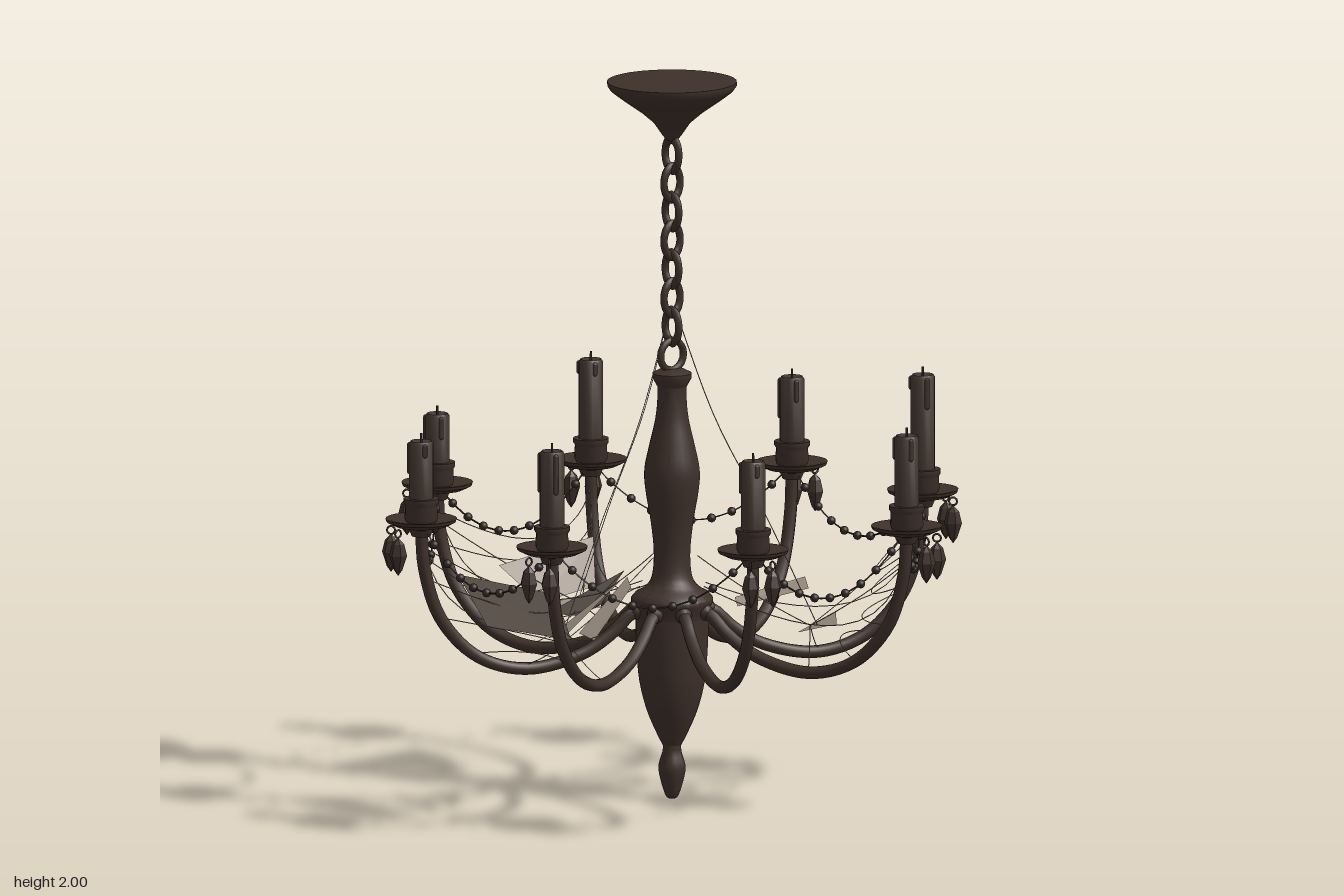
import * as THREE from 'three';
import { toCreasedNormals, mergeGeometries } from 'three/addons/utils/BufferGeometryUtils.js';

const V = (x, y, z) => new THREE.Vector3(x, y, z);

function createModel() {
  const model = new THREE.Group();
  const material = (name, color, side = THREE.FrontSide) => {
    const m = new THREE.MeshStandardMaterial({ color, side });
    m.name = name;
    return m;
  };
  const iron = material('dark bronze', 0x3e302a);
  const wax = material('old wax', 0x42362f);
  const bead = material('bead', 0x2f2825);
  const webbing = material('dusty web', 0x978a7d, THREE.DoubleSide);

  const add = (parent, name, geometry, mat, x = 0, y = 0, z = 0) => {
    const mesh = new THREE.Mesh(geometry, mat);
    mesh.name = name;
    mesh.position.set(x, y, z);
    parent.add(mesh);
    return mesh;
  };
  // Profiles run from bottom to top as [radius, y]
  const lathe = (profile, sides = 24) =>
    toCreasedNormals(new THREE.LatheGeometry(profile.map(p => new THREE.Vector2(...p)), sides), 0.7);
  const smoothProfile = (profile, n) =>
    new THREE.SplineCurve(profile.map(p => new THREE.Vector2(...p))).getPoints(n).map(p => [Math.max(p.x, 0), p.y]);
  const tube = (curve, radius, segments) => new THREE.TubeGeometry(curve, segments, radius, 4);

  // Ceiling canopy
  add(model, 'canopy', lathe([[0, 1.835], [0.014, 1.835], [0.026, 1.85], [0.05, 1.885], [0.085, 1.915],
    [0.135, 1.95], [0.168, 1.975], [0.178, 1.99], [0.178, 2], [0, 2]], 32), iron);

  // Chain of alternating links, ending in a round ring
  for (let i = 0; i < 8; i++) {
    const last = i === 7;
    const link = add(model, last ? 'hangingRing' : 'chainLink',
      new THREE.TorusGeometry(last ? 0.041 : 0.029, 0.01, 8, 20), iron, 0, 1.797 - i * 0.08, 0);
    if (!last) link.scale.y = 1.5;
    if (i % 2) link.rotation.y = Math.PI / 2;
  }

  // Turned central column, bowl and finial
  add(model, 'columnCap', lathe([[0, 1.15], [0.04, 1.15], [0.054, 1.175], [0.054, 1.188], [0.03, 1.2], [0, 1.2]]), iron);
  add(model, 'column', lathe(smoothProfile([[0.1, 0.575], [0.06, 0.61], [0.05, 0.68], [0.058, 0.77], [0.073, 0.86],
    [0.076, 0.92], [0.062, 0.99], [0.046, 1.06], [0.04, 1.12], [0.041, 1.16]], 36)), iron);
  add(model, 'hub', lathe([[0.1, 0.5], [0.103, 0.535], [0.113, 0.55], [0.113, 0.562], [0.1, 0.578], [0.05, 0.6]]), iron);
  add(model, 'bowl', lathe(smoothProfile([[0.024, 0.15], [0.04, 0.18], [0.07, 0.25], [0.09, 0.33], [0.098, 0.42],
    [0.101, 0.51]], 20)), iron);
  add(model, 'finial', lathe(smoothProfile([[0, 0.003], [0.017, 0.01], [0.033, 0.06], [0.037, 0.095], [0.026, 0.135],
    [0.026, 0.16]], 18)), iron);

  // Geometry shared by the eight arms
  const REACH = 0.722;
  const armCurve = new THREE.CatmullRomCurve3([[0.085, 0.535], [0.12, 0.522], [0.17, 0.475], [0.26, 0.42], [0.42, 0.388],
    [0.56, 0.43], [0.665, 0.54], [0.712, 0.68], [REACH, 0.8]].map(p => V(p[0], p[1], 0)));
  const armTube = new THREE.TubeGeometry(armCurve, 40, 0.0175, 10);
  const dish = lathe([[0, 0.775], [0.026, 0.775], [0.034, 0.795], [0.07, 0.803], [0.095, 0.815], [0.098, 0.824],
    [0.09, 0.824], [0.06, 0.815], [0, 0.815]]);
  const socket = lathe([[0.04, 0.812], [0.046, 0.825], [0.044, 0.86], [0.049, 0.868], [0.049, 0.88], [0, 0.88]], 16);
  const crystal = new THREE.LatheGeometry([[0, -0.107], [0.012, -0.09], [0.025, -0.05], [0.017, -0.018], [0, 0]]
    .map(p => new THREE.Vector2(...p)), 6).toNonIndexed();
  crystal.computeVertexNormals();
  const hook = new THREE.TorusGeometry(0.011, 0.003, 5, 10);
  const candleTops = [1.07, 1.09, 1.04, 1.015, 1.1, 1.06, 1.143, 1.075];

  candleTops.forEach((top, i) => {
    const arm = new THREE.Group();
    arm.name = 'arm';
    arm.rotation.y = -(Math.PI / 8 + i * Math.PI / 4);
    model.add(arm);
    add(arm, 'armTube', armTube, iron);
    add(arm, 'armRoot', new THREE.SphereGeometry(0.024, 10, 8), iron, 0.1, 0.53, 0);
    add(arm, 'dripDish', dish, iron, REACH);
    add(arm, 'candleSocket', socket, iron, REACH);

    // Candle with wick and wax runs
    add(arm, 'candle', lathe([[0.034, 0.87], [0.034, top - 0.008], [0.029, top], [0.018, top - 0.004], [0, top - 0.01]], 14),
      wax, REACH);
    add(arm, 'wick', new THREE.CylinderGeometry(0.003, 0.004, 0.032, 6), bead, REACH, top + 0.005, 0);
    for (let j = 0; j < 3; j++) {
      const a = i * 1.3 + j * 2.1, len = 0.025 + 0.025 * ((i * 3 + j * 2) % 4);
      add(arm, 'waxRun', new THREE.CapsuleGeometry(0.007, len, 3, 6), wax,
        REACH + 0.033 * Math.cos(a), top - 0.012 - len / 2, 0.033 * Math.sin(a));
    }

    // Two faceted drops on the outer rim
    for (const a of [-Math.PI / 8, Math.PI / 8]) {
      const x = REACH + 0.083 * Math.cos(a), z = 0.083 * Math.sin(a);
      add(arm, 'dropHook', hook, iron, x, 0.79, z).rotation.y = -a;
      add(arm, 'crystalDrop', crystal, iron, x, 0.78, z);
    }
  });

  // Bead swags between neighbouring dishes
  const tip = i => V(REACH * Math.cos((i + 0.5) * Math.PI / 4), 0, REACH * Math.sin((i + 0.5) * Math.PI / 4));
  const beadBall = new THREE.IcosahedronGeometry(0.0125, 1);
  for (let i = 0; i < 8; i++) {
    const points = [];
    for (let k = 0; k <= 10; k++) {
      const t = k / 10;
      const p = tip(i).lerp(tip(i + 1), t);
      p.y = 0.655 + 0.16 * (2 * t - 1) ** 2;
      points.push(p);
      if (k > 0 && k < 10) add(model, 'swagBead', beadBall, bead, p.x, p.y, p.z);
    }
    add(model, 'swagWire', tube(new THREE.CatmullRomCurve3(points), 0.0025, 20), bead);
  }

  // Cobwebs: local axes are r outward, y up, s sideways
  const centre = [[0.38, 0.455, 0], [0.455, 0.5, 0.09], [0.47, 0.48, -0.1]];
  const smallCentre = [[0.345, 0.47, 0], [0.455, 0.5, 0.03], [0.445, 0.52, -0.06]];
  const innerLeft = [[0.165, 0.64, -0.005], [0.19, 0.62, -0.05], [0.365, 0.5, -0.1], [0.36, 0.51, -0.03]];
  const innerRight = [[0.165, 0.64, 0.005], [0.36, 0.5, 0.02], [0.37, 0.48, 0.09]];
  const innerFan = [[0.2, 0.61, 0], [0.42, 0.47, -0.09], [0.39, 0.455, 0], [0.42, 0.47, 0.1]];
  const outerFar = [[0.515, 0.53, -0.18], [0.52, 0.52, 0.17], [0.6, 0.67, 0.2], [0.59, 0.67, -0.2]];
  const outerNear = [[0.43, 0.5, -0.11], [0.44, 0.52, 0.1], [0.52, 0.64, 0.16], [0.52, 0.6, -0.18]];
  const strip = [[0.354, 0.6, -0.14], [0.37, 0.58, -0.07], [0.18, 0.54, 0], [0.17, 0.56, -0.03]];
  const webs = [
    { angle: Math.PI / 2, patches: [centre, innerLeft, innerRight, outerFar] },
    { angle: Math.PI, patches: [centre, innerFan, outerNear] },
    { angle: -Math.PI / 4, patches: [smallCentre, strip] },
  ];
  const onArm = (t, side) => {
    const p = armCurve.getPoint(t);
    return V(p.x * Math.cos(Math.PI / 8), p.y + 0.012, side * p.x * Math.sin(Math.PI / 8));
  };
  const patchGeometry = corners => {
    const g = new THREE.BufferGeometry();
    g.setAttribute('position', new THREE.Float32BufferAttribute(corners.flat(), 3));
    g.setIndex(corners.length === 4 ? [0, 1, 2, 0, 2, 3] : [0, 1, 2]);
    const flat = g.toNonIndexed();
    flat.computeVertexNormals();
    return flat;
  };
  const THREAD = 0.0014;
  const knot = V(0.38, 0.49, 0);
  for (const { angle, patches } of webs) {
    const web = new THREE.Group();
    web.name = 'cobweb';
    web.rotation.y = -angle;
    model.add(web);
    patches.forEach(p => add(web, 'webPatch', patchGeometry(p), webbing));

    const sag = (a, control, b) => tube(new THREE.QuadraticBezierCurve3(a, control, b), THREAD, 14);
    const threads = [];
    // Spokes from the knot to the hub and arms
    const ends = [V(0.07, 0.68, 0)];
    for (const side of [-1, 1]) for (const t of [0.5, 0.9]) ends.push(onArm(t, side));
    for (const end of ends) threads.push(sag(knot, knot.clone().lerp(end, 0.5).add(V(0, -0.02, 0)), end));
    // Sagging cross threads from arm to arm
    for (const t of [0.62, 0.74, 0.84, 0.93]) {
      const a = onArm(t, -1), b = onArm(t, 1);
      threads.push(sag(a, a.clone().lerp(b, 0.5).lerp(knot, 0.75), b));
    }
    // Threads following each arm in to the hub
    for (const side of [-1, 1])
      threads.push(sag(V(0.09, 0.6, side * 0.03), V(0.6, 0.38, side * 0.2), onArm(0.93, side)));
    // Long strand hanging from the chain
    threads.push(tube(new THREE.CatmullRomCurve3(
      [V(0.01, 1.36, 0), V(0.12, 1.06, 0), V(0.26, 0.79, 0), V(0.4, 0.49, 0)]), THREAD, 16));
    add(web, 'webThreads', mergeGeometries(threads), webbing);
  }

  return model;
}

export { createModel };
